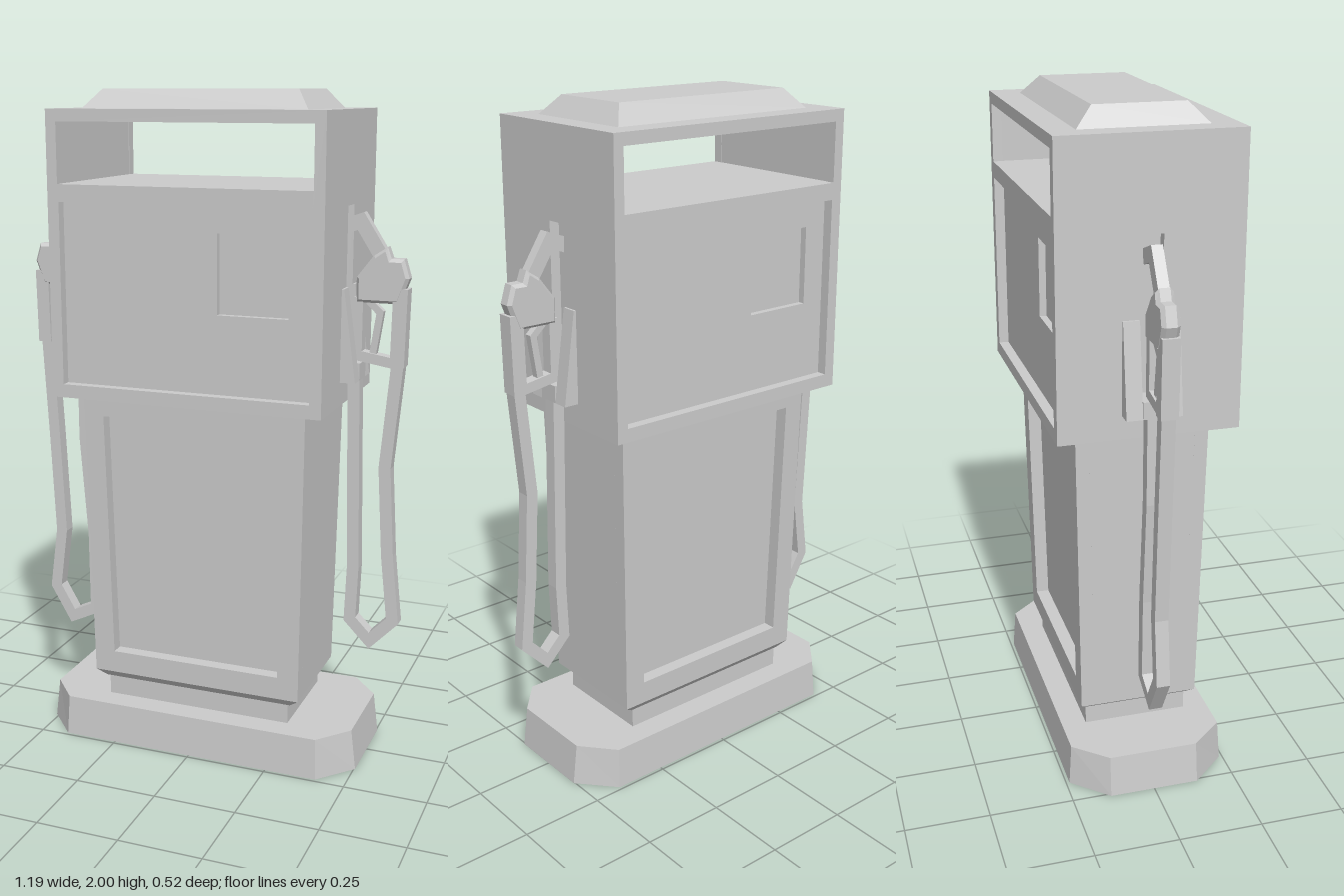
import * as THREE from 'three';

const material = new THREE.MeshStandardMaterial({ color: 0xcccccc, flatShading: true, side: THREE.DoubleSide });

function add(parent, name, geometry, x = 0, y = 0, z = 0) {
  const mesh = new THREE.Mesh(geometry, material);
  mesh.name = name;
  mesh.position.set(x, y, z);
  parent.add(mesh);
  return mesh;
}

const path = (pts, Type = THREE.Shape) => new Type(pts.map(([x, y]) => new THREE.Vector2(x, y)));
const rect = (x0, y0, x1, y1) => [[x0, y0], [x1, y0], [x1, y1], [x0, y1]];

// Flat plate with holes, extruded from z = 0 to z = depth
function plate(outline, holes, depth) {
  const shape = path(outline);
  shape.holes = holes.map((h) => path(h, THREE.Path));
  return new THREE.ExtrudeGeometry(shape, { depth, bevelEnabled: false });
}

// Closed solid through horizontal rings; each section is [y, halfX, halfZ, cutX, cutZ]
function loft(sections) {
  const rings = sections.map(([y, a, b, cx = 0, cz = 0]) => {
    const corners = cx
      ? [[a, b - cz], [a - cx, b], [cx - a, b], [-a, b - cz], [-a, cz - b], [cx - a, -b], [a - cx, -b], [a, cz - b]]
      : [[a, b], [-a, b], [-a, -b], [a, -b]];
    return corners.map(([x, z]) => [x, y, z]);
  });
  const out = [];
  const tri = (...p) => p.forEach((q) => out.push(...q));
  const n = rings[0].length, top = rings[rings.length - 1], low = rings[0];
  for (let r = 0; r < rings.length - 1; r++) {
    for (let i = 0; i < n; i++) {
      const j = (i + 1) % n, p = rings[r], q = rings[r + 1];
      tri(p[i], q[i], q[j]);
      tri(p[i], q[j], p[j]);
    }
  }
  for (let i = 1; i < n - 1; i++) {
    tri(top[0], top[i + 1], top[i]);
    tri(low[0], low[i], low[i + 1]);
  }
  const g = new THREE.BufferGeometry();
  g.setAttribute('position', new THREE.Float32BufferAttribute(out, 3));
  g.computeVertexNormals();
  return g;
}

// Bar of rectangular section following a bent line in the xy plane, with mitred corners
function strap(pts, width, depth) {
  const v = pts.map(([x, y]) => new THREE.Vector2(x, y));
  const normal = (a, b) => new THREE.Vector2(a.y - b.y, b.x - a.x).normalize();
  const left = [], right = [];
  v.forEach((p, i) => {
    const n0 = normal(v[Math.max(i - 1, 0)], v[Math.max(i, 1)]);
    const n1 = i < v.length - 1 ? normal(p, v[i + 1]) : n0;
    const m = n0.clone().add(n1).normalize();
    m.multiplyScalar(width / 2 / m.dot(n0));
    left.push([p.x + m.x, p.y + m.y]);
    right.unshift([p.x - m.x, p.y - m.y]);
  });
  return plate([...left, ...right], [], depth).translate(0, 0, -depth / 2);
}

// Panels shared by the front and the back
function createFace() {
  const face = new THREE.Group();
  face.name = 'face';
  const panel = rect(-0.38, 1.15, 0.38, 1.685);
  const screen = rect(0.095, 1.38, 0.307, 1.61);
  add(face, 'upperFrame', plate(rect(-0.415, 1.11, 0.415, 1.945), [rect(-0.383, 1.735, 0.383, 1.91), panel], 0.03), 0, 0, 0.2325);
  add(face, 'displayPanel', plate(rect(-0.385, 1.11, 0.385, 1.735), [screen], 0.02), 0, 0, 0.2125);

  // Lower frame leans outwards with the tapered body
  const frame = plate(
    [[-0.335, 0.21], [0.335, 0.21], [0.349, 1.11], [-0.349, 1.11]],
    [[[-0.27, 0.28], [0.27, 0.28], [0.285, 1.045], [-0.285, 1.045]]], 0.04);
  const pos = frame.attributes.position;
  for (let i = 0; i < pos.count; i++) pos.setZ(i, pos.getZ(i) + 0.14 + (pos.getY(i) - 0.21) * 0.0178);
  frame.computeVertexNormals();
  add(face, 'lowerFrame', frame);
  return face;
}

// Side wall with its slot, holster, nozzle and hose
function createSide(hosePoints) {
  const side = new THREE.Group();
  side.name = 'side';
  const wall = plate(rect(-0.2325, 1.11, 0.2325, 1.945), [rect(-0.033, 1.23, 0.033, 1.68)], 0.03);
  add(side, 'sideWall', wall.rotateY(Math.PI / 2), 0.385);

  for (const z of [-0.08, 0.033]) {
    add(side, 'holsterCheek', plate([[0.41, 1.18], [0.46, 1.18], [0.422, 1.45], [0.41, 1.45]], [], 0.047), 0, 0, z);
  }
  add(side, 'holsterBase', new THREE.BoxGeometry(0.05, 0.05, 0.066), 0.435, 1.205, 0);

  const nozzle = new THREE.Group();
  nozzle.name = 'nozzle';
  side.add(nozzle);
  add(nozzle, 'spout', strap([[0.388, 1.615], [0.448, 1.637], [0.51, 1.54]], 0.042, 0.032));
  add(nozzle, 'nozzleBody', new THREE.ExtrudeGeometry(
    path([[0.449, 1.475], [0.495, 1.535], [0.524, 1.555], [0.534, 1.525], [0.57, 1.525], [0.584, 1.48], [0.56, 1.415], [0.449, 1.415]]),
    { depth: 0.03, bevelThickness: 0.011, bevelSize: 0.009, bevelSegments: 1 }), 0, 0, -0.015);
  add(nozzle, 'handle', strap([[0.571, 1.45], [0.567, 1.225]], 0.042, 0.05));
  add(nozzle, 'guardFront', strap([[0.447, 1.42], [0.447, 1.245]], 0.028, 0.036));
  add(nozzle, 'guardBottom', strap([[0.435, 1.253], [0.565, 1.232]], 0.03, 0.036));
  add(nozzle, 'trigger', strap([[0.475, 1.41], [0.51, 1.378], [0.49, 1.245]], 0.02, 0.022));
  add(side, 'hose', strap(hosePoints, 0.036, 0.04));
  return side;
}

export function createModel() {
  const model = new THREE.Group();
  model.name = 'fuelPump';
  model.position.x = -0.003;

  // Base and tapered lower body
  add(model, 'base', loft([[0, 0.507, 0.24, 0.095, 0.105], [0.125, 0.492, 0.232, 0.085, 0.098]]));
  add(model, 'plinth', loft([[0.12, 0.297, 0.158], [0.2, 0.297, 0.158]]));
  add(model, 'lowerBevel', loft([[0.187, 0.305, 0.162], [0.21, 0.335, 0.18]]));
  add(model, 'lowerBody', loft([[0.21, 0.335, 0.14], [1.11, 0.349, 0.156]]));

  // Upper housing with an open gap below the roof
  add(model, 'housing', new THREE.BoxGeometry(0.77, 0.625, 0.425), 0, 1.4225, 0);
  add(model, 'roof', new THREE.BoxGeometry(0.77, 0.035, 0.465), 0, 1.9275, 0);
  add(model, 'cap', loft([[1.945, 0.339, 0.183], [2, 0.296, 0.131]]));

  const front = createFace(), back = createFace();
  back.rotation.y = Math.PI;

  const leftSide = createSide([[0.568, 1.235], [0.54, 0.92], [0.556, 0.65], [0.578, 0.445], [0.508, 0.372],
    [0.446, 0.435], [0.452, 0.6], [0.445, 0.92], [0.439, 1.2]]);
  const rightSide = createSide([[0.562, 1.235], [0.545, 0.92], [0.53, 0.6], [0.556, 0.405], [0.497, 0.305],
    [0.413, 0.345], [0.415, 0.6], [0.439, 0.92], [0.439, 1.2]]);
  rightSide.rotation.y = Math.PI;
  model.add(front, back, leftSide, rightSide);

  const root = new THREE.Group();
  root.add(model);
  return root;
}
